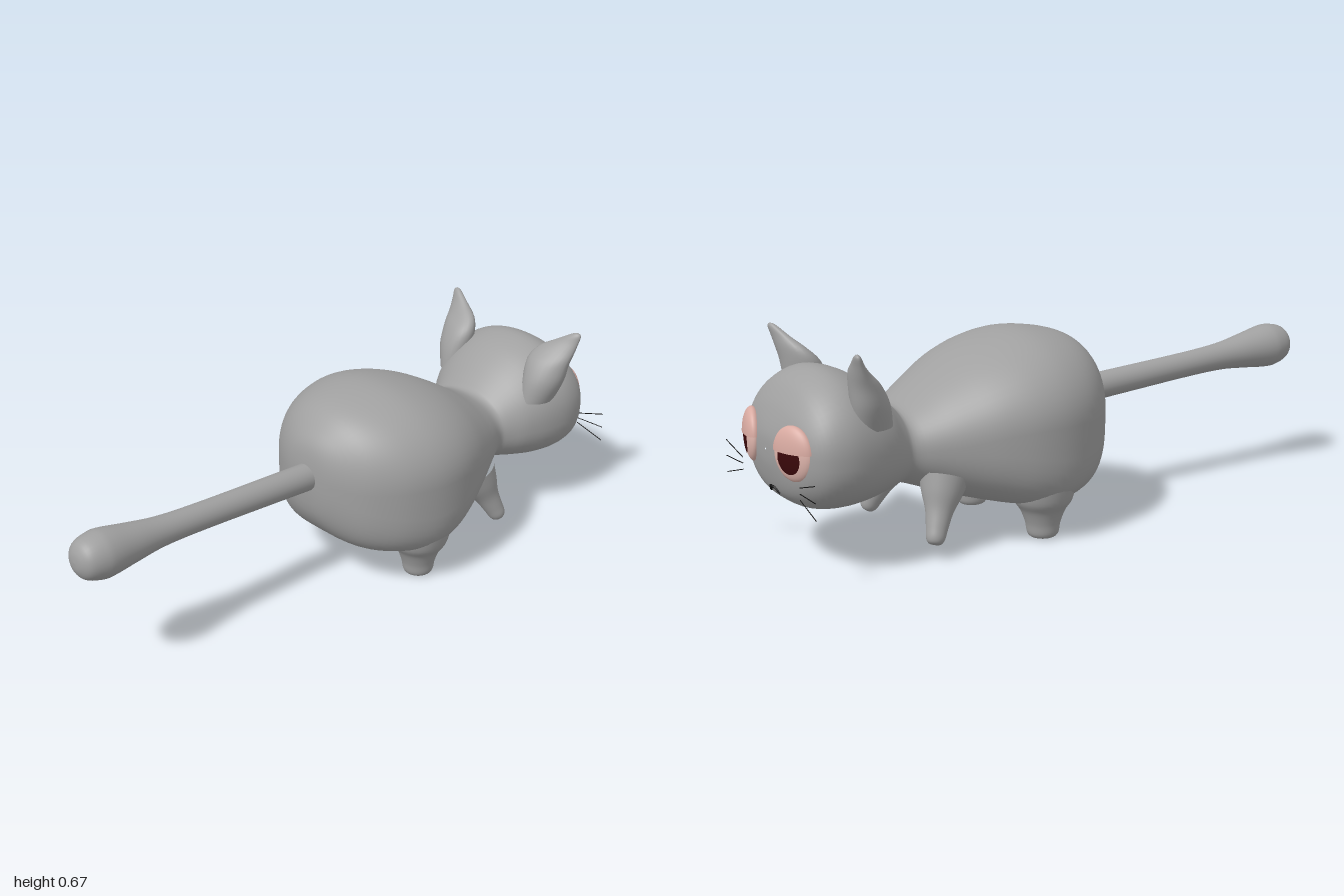
import * as THREE from 'three';

const paint = (name, color) => {
  const m = new THREE.MeshStandardMaterial({ color });
  m.name = name;
  return m;
};

// Smooth skin over closed rings of points
function loft(rings) {
  const n = rings[0].length, pos = [], idx = [];
  rings.forEach((ring) => ring.forEach((p) => pos.push(p.x, p.y, p.z)));
  for (let i = 0; i < rings.length - 1; i++) {
    for (let j = 0; j < n; j++) {
      const k = (j + 1) % n;
      const a = i * n + j, b = i * n + k, c = a + n, d = b + n;
      idx.push(a, c, b, b, c, d);
    }
  }
  const g = new THREE.BufferGeometry();
  g.setAttribute('position', new THREE.Float32BufferAttribute(pos, 3));
  g.setIndex(idx);
  g.computeVertexNormals();
  return g;
}

// Catmull-Rom resampling of rows of numbers
function resample(rows, steps) {
  const out = [];
  const at = (i) => rows[Math.min(Math.max(i, 0), rows.length - 1)];
  for (let i = 0; i < rows.length - 1; i++) {
    for (let s = 0; s < steps; s++) {
      const t = s / steps;
      out.push(rows[0].map((_, k) => {
        const [a, b, c, d] = [at(i - 1)[k], at(i)[k], at(i + 1)[k], at(i + 2)[k]];
        return b + 0.5 * t * (c - a + t * (2 * a - 5 * b + 4 * c - d + t * (3 * (b - c) + d - a)));
      }));
    }
  }
  out.push(rows[rows.length - 1]);
  return out;
}

// Round part turned from a smoothed [radius, height] profile
function turned(profile) {
  const pts = resample(profile, 5).map(([r, y]) => new THREE.Vector2(Math.max(r, 0), y));
  return new THREE.LatheGeometry(pts, 32);
}

export function createModel() {
  const group = new THREE.Group();
  const fur = paint('grey fur', 0xa0a0a0);
  const pink = paint('pink eye', 0xe0b6ad);
  const lidPink = paint('pink eyelid', 0xd8aaa1);
  const dark = paint('dark red pupil', 0x3a080a);
  const black = paint('black', 0x141414);
  pink.side = lidPink.side = THREE.DoubleSide;
  const add = (name, geometry, material, parent = group) => {
    const m = new THREE.Mesh(geometry, material);
    m.name = name;
    parent.add(m);
    return m;
  };

  // Body and head: z, half width, top, widest height, bottom, lower squareness
  const stations = [
    [0.137, 0.004, 0.385, 0.38, 0.375, 2.2],
    [0.125, 0.09, 0.48, 0.38, 0.26, 2.6],
    [0.085, 0.175, 0.54, 0.37, 0.185, 3.4],
    [0.03, 0.24, 0.585, 0.37, 0.14, 4],
    [-0.05, 0.295, 0.61, 0.37, 0.115, 4.4],
    [-0.15, 0.326, 0.62, 0.37, 0.102, 4.6],
    [-0.25, 0.325, 0.603, 0.37, 0.108, 4],
    [-0.35, 0.295, 0.567, 0.36, 0.128, 3.2],
    [-0.45, 0.245, 0.512, 0.34, 0.155, 2.6],
    [-0.53, 0.2, 0.462, 0.33, 0.185, 2.3],
    [-0.59, 0.168, 0.44, 0.325, 0.205, 2.2],
    [-0.625, 0.178, 0.468, 0.33, 0.205, 2.3],
    [-0.68, 0.215, 0.52, 0.35, 0.195, 2.4],
    [-0.75, 0.245, 0.567, 0.36, 0.185, 2.5],
    [-0.83, 0.26, 0.588, 0.37, 0.18, 2.5],
    [-0.9, 0.247, 0.56, 0.37, 0.19, 2.5],
    [-0.943, 0.21, 0.51, 0.37, 0.215, 2.4],
    [-0.968, 0.15, 0.46, 0.37, 0.25, 2.3],
    [-0.984, 0.07, 0.41, 0.365, 0.315, 2.1],
    [-0.987, 0.003, 0.368, 0.365, 0.362, 2],
  ];
  add('bodyAndHead', loft(resample(stations, 4).map(([z, w, top, mid, bottom, square]) =>
    Array.from({ length: 56 }, (_, j) => {
      const a = (j / 56) * Math.PI * 2, c = Math.cos(a), s = Math.sin(a);
      const e = 2 / (s >= 0 ? 2.1 : square);
      const x = w * Math.sign(c) * Math.abs(c) ** e;
      const h = Math.abs(s) ** e;
      return new THREE.Vector3(x, mid + (s >= 0 ? (top - mid) * h : (bottom - mid) * h), z);
    }))), fur);

  // Tail with a bulb at its end
  const tail = add('tail', turned([[0.045, -0.06], [0.043, 0.2], [0.042, 0.45], [0.046, 0.6],
    [0.06, 0.71], [0.072, 0.79], [0.072, 0.83], [0.058, 0.875], [0.03, 0.896], [0, 0.901]]), fur);
  tail.position.set(0, 0.38, 0.1);
  tail.rotation.x = Math.PI / 2 - 0.061;

  // Ear rings: height, inner x, outer x, back z, front z
  const earRows = [
    [0.43, 0.14, 0.235, -0.68, -0.8],
    [0.5, 0.135, 0.262, -0.695, -0.815],
    [0.56, 0.13, 0.27, -0.725, -0.82],
    [0.6, 0.15, 0.276, -0.765, -0.825],
    [0.63, 0.198, 0.28, -0.795, -0.83],
    [0.655, 0.24, 0.283, -0.814, -0.836],
    [0.664, 0.257, 0.277, -0.823, -0.834],
    [0.666, 0.265, 0.267, -0.828, -0.83],
  ];
  const hindProfile = [[0, 0], [0.032, 0.002], [0.048, 0.015], [0.055, 0.05],
    [0.07, 0.09], [0.092, 0.125], [0.105, 0.18]];
  const frontProfile = [[0, 0], [0.018, 0.003], [0.028, 0.018], [0.033, 0.05],
    [0.042, 0.1], [0.06, 0.15], [0.075, 0.2]];

  for (const s of [1, -1]) {
    const side = s > 0 ? 'left' : 'right';

    add(side + 'Ear', loft(resample(earRows, 4).map(([y, xi, xo, zb, zf]) =>
      Array.from({ length: 24 }, (_, j) => {
        const a = (j / 24) * Math.PI * 2;
        const dx = ((xo - xi) / 2) * Math.cos(a);
        return new THREE.Vector3(s * (xi + xo) / 2 + dx, y,
          (zb + zf) / 2 + ((zb - zf) / 2) * Math.sin(a) - dx * s * 0.2);
      }))), fur);

    // Legs, the front pair splayed outward
    add(side + 'HindLeg', turned(hindProfile), fur).position.set(s * 0.203, 0, -0.172);
    const frontLeg = add(side + 'FrontLeg', turned(frontProfile), fur);
    frontLeg.position.set(s * 0.207, 0.05, -0.56);
    frontLeg.quaternion.setFromUnitVectors(new THREE.Vector3(0, 1, 0),
      new THREE.Vector3(-s * 0.055, 0.16, 0.065).normalize());

    // Half-closed eye, turned slightly outward
    const eye = new THREE.Group();
    eye.name = side + 'Eye';
    eye.position.set(s * 0.133, 0.375, -0.964);
    eye.rotation.y = Math.PI - s * 0.33;
    group.add(eye);
    add('eyeball', new THREE.SphereGeometry(1, 32, 20).scale(0.072, 0.079, 0.026), pink, eye);
    add('eyelid', new THREE.SphereGeometry(1, 32, 10, 0, Math.PI * 2, 0, Math.PI / 2 - 0.1)
      .scale(0.076, 0.083, 0.031), lidPink, eye);
    add('pupil', new THREE.SphereGeometry(1, 28, 8, 0, Math.PI * 2, 0, 0.62)
      .rotateX(Math.PI / 2 + 0.12).scale(0.0735, 0.0805, 0.0275), dark, eye);

    // Whiskers fanning out from the cheek
    for (const k of [-1, 0, 1]) {
      const whisker = new THREE.LineCurve3(
        new THREE.Vector3(s * 0.185, 0.275 + k * 0.018, -0.975),
        new THREE.Vector3(s * 0.29, 0.275 + k * 0.05, -0.98));
      add(side + 'Whisker', new THREE.TubeGeometry(whisker, 1, 0.0015, 6), black);
    }
  }

  // Small downturned mouth
  const mouth = new THREE.CatmullRomCurve3([[-0.028, 0.234, -0.961], [-0.014, 0.25, -0.97],
    [0, 0.252, -0.973], [0.014, 0.25, -0.97], [0.028, 0.234, -0.961]]
    .map((p) => new THREE.Vector3(...p)));
  add('mouth', new THREE.TubeGeometry(mouth, 16, 0.004, 6), black);

  return group;
}
